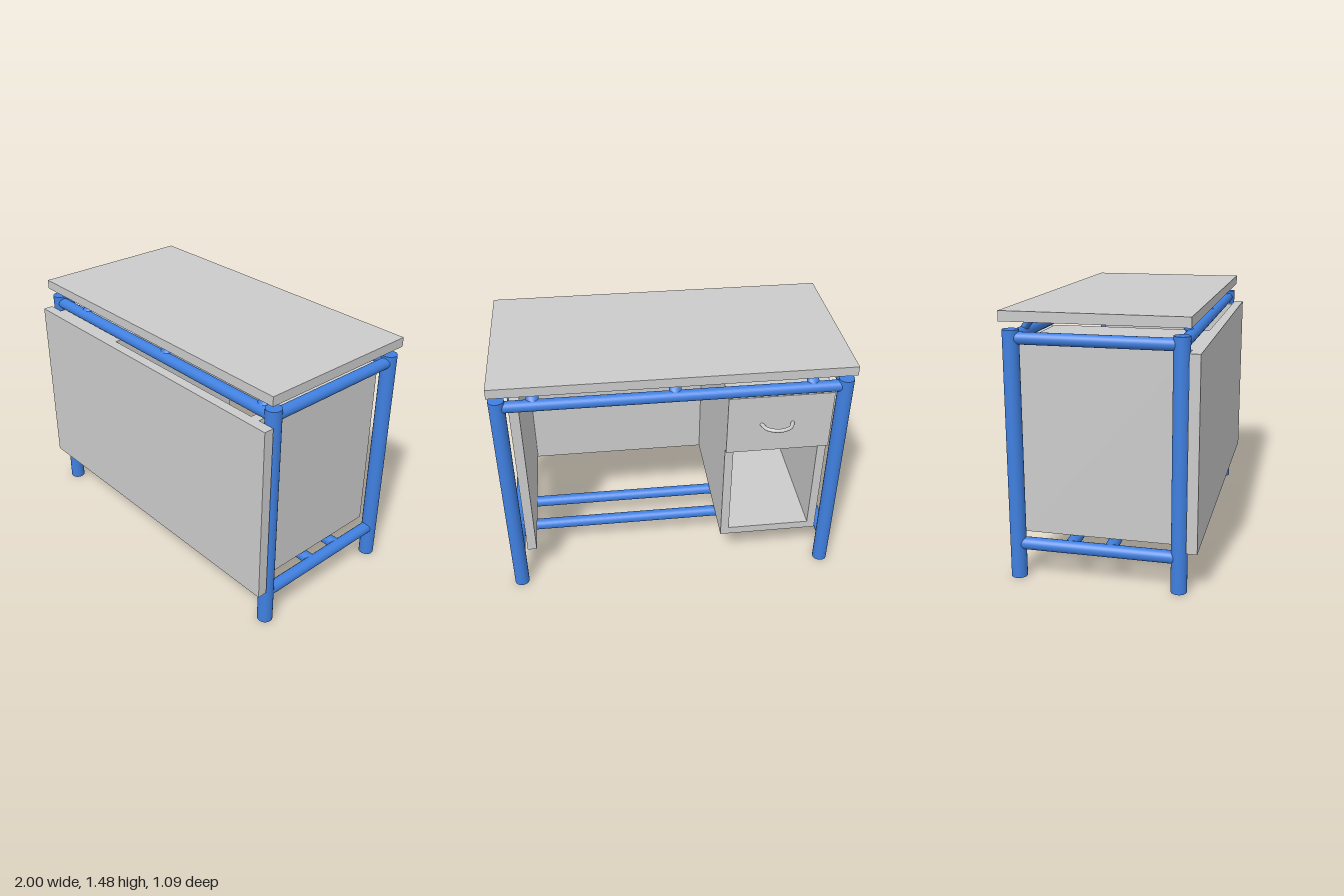
import * as THREE from 'three';

const grey = new THREE.MeshStandardMaterial({ color: 0xcccccc });
const blue = new THREE.MeshStandardMaterial({ color: 0x4080e0 });

export function createModel() {
  const model = new THREE.Group();
  model.name = 'desk';

  // Box given by its extents on each axis
  function board(name, [x0, x1], [y0, y1], [z0, z1], parent = model) {
    const mesh = new THREE.Mesh(new THREE.BoxGeometry(x1 - x0, y1 - y0, z1 - z0), grey);
    mesh.position.set((x0 + x1) / 2, (y0 + y1) / 2, (z0 + z1) / 2);
    mesh.name = name;
    parent.add(mesh);
  }

  // Round tube between two points; depth flattens its section
  function pipe(name, from, to, radius, depth = 1) {
    const a = new THREE.Vector3(...from), b = new THREE.Vector3(...to);
    const dir = b.clone().sub(a);
    const geometry = new THREE.CylinderGeometry(radius, radius, dir.length(), 32);
    geometry.scale(1, 1, depth);
    const mesh = new THREE.Mesh(geometry, blue);
    mesh.position.copy(a).add(b).multiplyScalar(0.5);
    mesh.quaternion.setFromUnitVectors(new THREE.Vector3(0, 1, 0), dir.normalize());
    mesh.name = name;
    model.add(mesh);
  }

  const legX = 0.956, frontZ = 0.442, backZ = -0.452;
  const railY = 1.33, lowY = 0.195;

  // Legs and the rails on each end
  for (const x of [-legX, legX]) {
    for (const z of [frontZ, backZ]) pipe('leg', [x, 0, z], [x, 1.375, z], 0.044);
    pipe('upperEndRail', [x, railY, backZ], [x, railY, frontZ], 0.033);
    pipe('lowerEndRail', [x, lowY, backZ], [x, lowY, frontZ], 0.035);
  }

  // Long rails: two at the top edges, two low footrests
  for (const z of [frontZ, backZ]) pipe('longRail', [-legX, railY, z], [legX, railY, z], 0.033);
  for (const z of [-0.16, 0.06]) pipe('footRail', [-legX, lowY, z], [legX, lowY, z], 0.034);

  // Slanted struts carrying the tabletop
  for (const x of [-0.67, 0.1, 0.87])
    pipe('frontStrut', [x, railY, frontZ + 0.01], [x, 1.43, 0.376], 0.034, 0.6);
  for (const x of [-0.77, -0.005, 0.765])
    pipe('backStrut', [x, railY, backZ - 0.01], [x, 1.43, -0.386], 0.034, 0.6);

  // Tabletop, front panel and the free end panel
  board('tabletop', [-1, 1], [1.42, 1.475], [-0.5, 0.495]);
  board('frontPanel', [-1, 1], [0.24, 1.295], [0.485, 0.543]);
  board('endPanel', [0.845, 0.9], [0.24, 1.295], [-0.43, 0.485]);

  // Cabinet, open at the back below its drawer
  const cabinet = new THREE.Group();
  cabinet.name = 'cabinet';
  model.add(cabinet);
  const depth = [-0.43, 0.485];
  board('cabinetInnerSide', [-0.35, -0.3], [0.24, 1.295], depth, cabinet);
  board('cabinetOuterSide', [-0.9, -0.85], [0.24, 1.295], depth, cabinet);
  board('cabinetBottom', [-0.85, -0.35], [0.24, 0.29], depth, cabinet);
  board('cabinetTop', [-0.85, -0.35], [1.245, 1.295], depth, cabinet);
  board('drawerBottom', [-0.85, -0.35], [0.93, 0.96], depth, cabinet);
  board('drawerFront', [-0.9, -0.3], [0.917, 1.29], [-0.462, -0.43], cabinet);

  // Bowed drawer handle
  const bow = new THREE.CatmullRomCurve3([
    [-0.675, -0.46], [-0.655, -0.505], [-0.62, -0.526], [-0.585, -0.532],
    [-0.55, -0.526], [-0.515, -0.505], [-0.495, -0.46],
  ].map(([x, z]) => new THREE.Vector3(x, 1.103, z)));
  const handle = new THREE.Mesh(new THREE.TubeGeometry(bow, 40, 0.011, 12), grey);
  handle.name = 'drawerHandle';
  cabinet.add(handle);

  return model;
}
